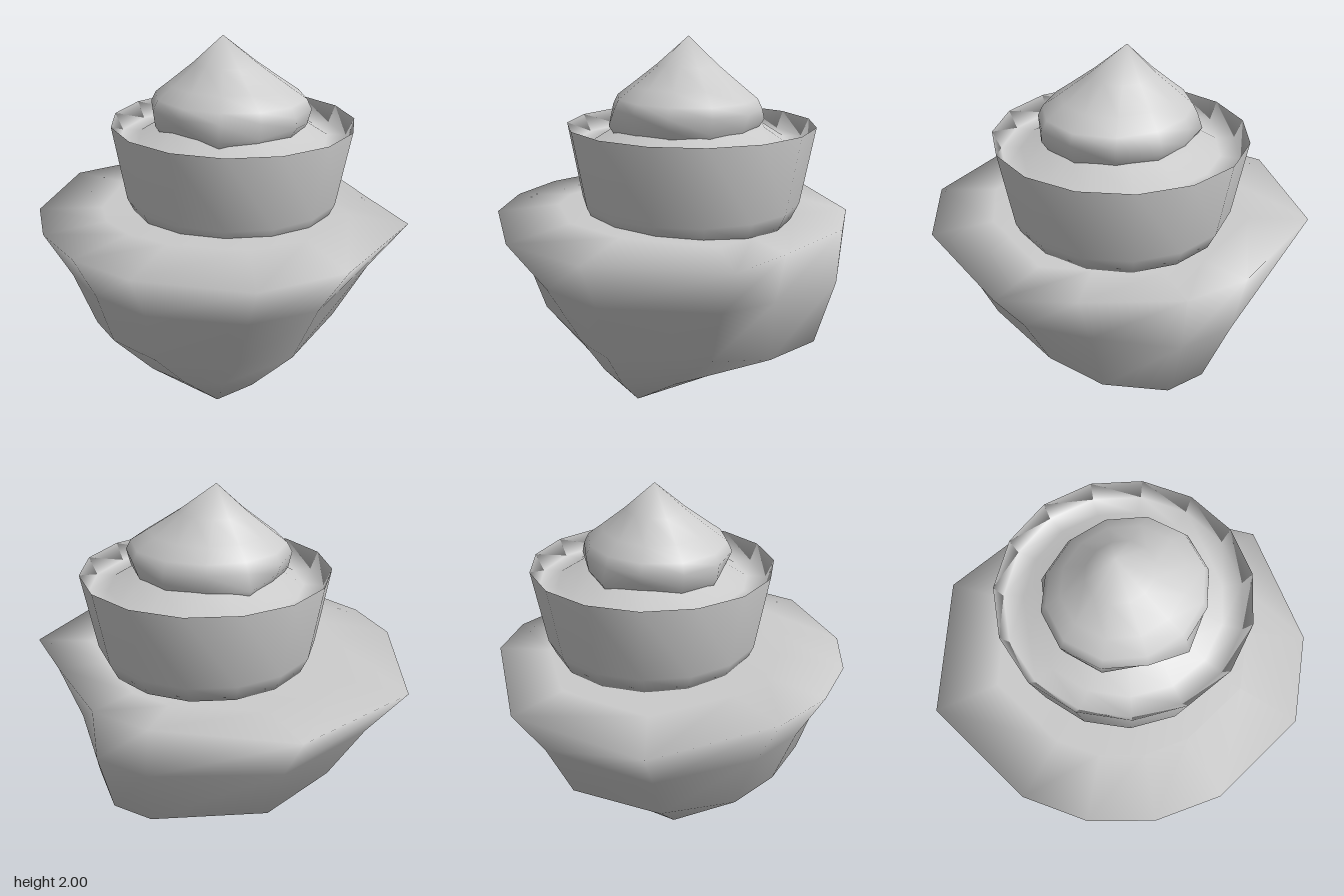
import * as THREE from 'three';
import { mergeVertices } from 'three/addons/utils/BufferGeometryUtils.js';

const MAT = new THREE.MeshStandardMaterial({ color: 0xcccccc, side: THREE.DoubleSide });
const N = 12;

// Irregular rock cross-sections, each running from the back round by +x
const RIM = [
  [-0.06, 1.06, -1], [0.63, 1.07, -0.77], [0.92, 1.09, -0.14], [0.91, 1.08, 0.19],
  [0.67, 1.08, 0.62], [0.48, 1.09, 0.94], [-0.19, 1.09, 1], [-0.62, 1.09, 0.8],
  [-0.89, 1.09, 0.3], [-0.92, 1.09, -0.05], [-0.83, 1.09, -0.38], [-0.63, 1.09, -0.66]];
const MIDDLE = [
  [-0.05, 0.45, -0.6], [0.44, 0.46, -0.5], [0.78, 0.45, -0.02], [0.8, 0.46, 0.2],
  [0.6, 0.46, 0.46], [0.33, 0.5, 0.62], [-0.17, 0.5, 0.7], [-0.36, 0.48, 0.52],
  [-0.67, 0.53, 0.23], [-0.71, 0.56, -0.03], [-0.6, 0.52, -0.28], [-0.42, 0.46, -0.45]];
const LOW = [
  [-0.08, 0.22, -0.36], [0.2, 0.26, -0.3], [0.46, 0.34, -0.04], [0.49, 0.35, 0.16],
  [0.3, 0.28, 0.33], [0.1, 0.23, 0.4], [-0.17, 0.22, 0.45], [-0.3, 0.25, 0.36],
  [-0.43, 0.26, 0.2], [-0.47, 0.28, 0], [-0.4, 0.27, -0.15], [-0.25, 0.24, -0.27]];

const mix = (a, b, t) => a.map((v, k) => v + (b[k] - v) * t);

// Smooth skin over closed rings listed from bottom to top
function loft(rings) {
  const index = [];
  for (let i = 0; i < rings.length - 1; i++) {
    for (let j = 0; j < N; j++) {
      const a = i * N + j, b = i * N + (j + 1) % N;
      index.push(a, a + N, b, b, a + N, b + N);
    }
  }
  const g = new THREE.BufferGeometry();
  g.setAttribute('position', new THREE.Float32BufferAttribute(rings.flat(2), 3));
  g.setIndex(index);
  return smooth(g);
}

// Weld seams and poles so the shading runs on unbroken
function smooth(g) {
  g.deleteAttribute('uv');
  g.deleteAttribute('normal');
  const welded = mergeVertices(g, 1e-4);
  welded.computeVertexNormals();
  return welded;
}

function lathe(profile, sides) {
  const pts = profile.map(([r, y]) => new THREE.Vector2(r, y));
  return new THREE.LatheGeometry(pts, sides, Math.PI / 2);
}

export function createModel() {
  const group = new THREE.Group();
  const add = (name, geometry, x = 0, z = 0) => {
    const mesh = new THREE.Mesh(geometry, MAT);
    mesh.name = name;
    mesh.position.set(x, 0, z);
    group.add(mesh);
  };

  // Rock tapering to an off-centre point, with a gently bulging top
  const upper = RIM.map((p, j) => {
    const q = mix(p, MIDDLE[j], 0.45), s = j === 2 || j === 3 ? 1.04 : 0.97;
    return [q[0] * s, q[1], q[2] * s];
  });
  const ground = RIM.map((p) => {
    const q = mix(p, [0.11, 1.1, 0.07], 0.32);
    q[1] = 1.09 + 0.05 * THREE.MathUtils.clamp(q[2] - q[0], -0.4, 1);
    return q;
  });
  add('rock', loft([
    RIM.map(() => [-0.16, 0, 0.2]), LOW, MIDDLE, upper, RIM, ground,
    RIM.map(() => [0.11, 1.1, 0.07])]));

  // Fifteen-sided tier: flared wall, groove inside the rim, mounded ground
  add('tier', smooth(lathe([
    [0, 1.06], [0.53, 1.08], [0.572, 1.17], [0.64, 1.565],
    [0.6, 1.475], [0.5, 1.48], [0.38, 1.555], [0.2, 1.59], [0, 1.6]], 15)), 0.11, 0.07);

  // Pointed cap, slightly oval, with a ragged skirt and a tip leaning back
  const cap = lathe([[0.36, 1.53], [0.39, 1.58], [0.395, 1.65], [0.37, 1.7], [0.29, 1.76], [0.16, 1.86], [0, 2]], 12);
  const p = cap.attributes.position;
  for (let i = 0; i < p.count; i++) {
    const x = p.getX(i), y = p.getY(i), z = p.getZ(i);
    const a = Math.atan2(z, x), skirt = y < 1.6;
    const s = skirt ? 1 + 0.05 * Math.sin(5 * a + 1) : 1 + 0.04 * Math.sin(2 * a);
    const lift = skirt ? 0.02 * Math.cos(4 * a) : 0;
    const lean = 0.05 * Math.max(0, (y - 1.7) / 0.3);
    p.setXYZ(i, x * s * 0.99, y + lift, z * s * 1.05 - lean);
  }
  add('cap', smooth(cap), 0.085, 0.07);

  return group;
}
